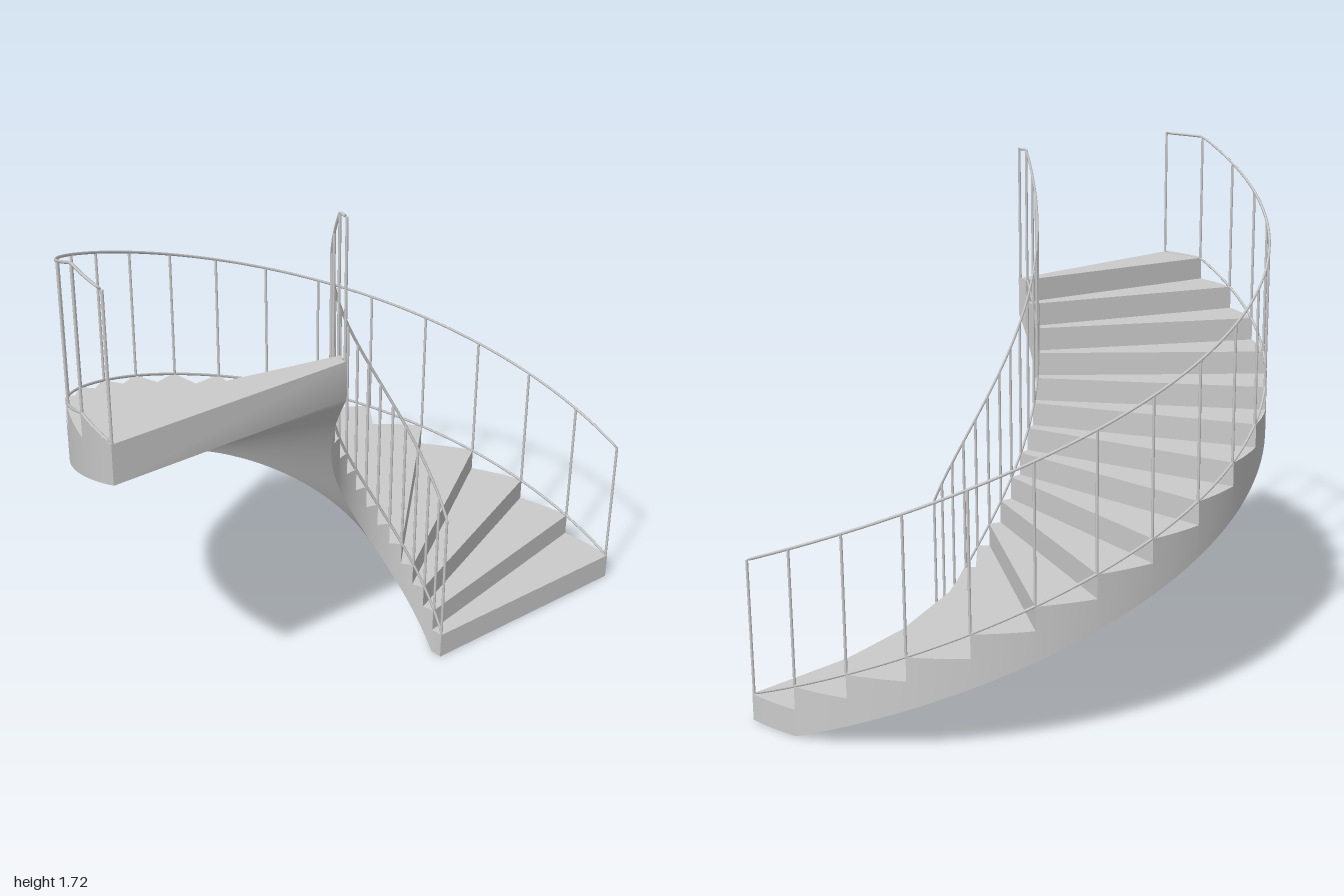
import * as THREE from 'three';
import { toCreasedNormals } from 'three/addons/utils/BufferGeometryUtils.js';

const STEPS = 16, SUB = 4;
const R_IN = 0.21, R_OUT = 1, CENTRE_Z = 0.5;
const FIRST = 0.09, RISE = 0.0785, RAIL_HEIGHT = 0.45, BAR = 0.0045;

const material = new THREE.MeshStandardMaterial({ color: 0xcccccc });

// s counts steps along the half turn (0 at the foot, 16 at the landing)
const at = (r, s, y) => {
  const a = (s / STEPS) * Math.PI;
  return new THREE.Vector3(r * Math.cos(a), y, CENTRE_Z - r * Math.sin(a));
};
const treadY = (s) => FIRST + RISE * s;
const soffitY = (s) => Math.max(0, (s - 1) * 0.076);

// Winding steps with a continuous sloping underside
function stairGeometry() {
  const pos = [];
  const quad = (a, b, c, d) => [a, b, c, a, c, d].forEach((p) => pos.push(p.x, p.y, p.z));
  for (let i = 0; i < STEPS; i++) {
    const top = treadY(i);
    const low = i === 0 ? 0 : treadY(i - 1);
    // riser
    quad(at(R_IN, i, low), at(R_OUT, i, low), at(R_OUT, i, top), at(R_IN, i, top));
    for (let k = 0; k < SUB; k++) {
      const s = i + k / SUB, e = i + (k + 1) / SUB;
      const ys = soffitY(s), ye = soffitY(e);
      // tread, outer wall, inner wall, underside
      quad(at(R_IN, s, top), at(R_OUT, s, top), at(R_OUT, e, top), at(R_IN, e, top));
      quad(at(R_OUT, s, ys), at(R_OUT, e, ye), at(R_OUT, e, top), at(R_OUT, s, top));
      quad(at(R_IN, s, top), at(R_IN, e, top), at(R_IN, e, ye), at(R_IN, s, ys));
      quad(at(R_IN, e, ye), at(R_OUT, e, ye), at(R_OUT, s, ys), at(R_IN, s, ys));
    }
  }
  // end face under the landing
  const y0 = soffitY(STEPS), y1 = treadY(STEPS - 1);
  quad(at(R_IN, STEPS, y1), at(R_OUT, STEPS, y1), at(R_OUT, STEPS, y0), at(R_IN, STEPS, y0));
  const g = new THREE.BufferGeometry();
  g.setAttribute('position', new THREE.Float32BufferAttribute(pos, 3));
  return toCreasedNormals(g, 0.5);
}

// Point on a railing line: climbs with the steps, level over the last one
function railPoint(r, s, lift) {
  const p = at(r, s, treadY(Math.min(s, STEPS - 1)) + lift);
  p.z = Math.min(p.z, CENTRE_Z - BAR);
  return p;
}

class RailCurve extends THREE.Curve {
  constructor(r, lift) {
    super();
    this.r = r;
    this.lift = lift;
  }
  getPoint(t, target = new THREE.Vector3()) {
    return target.copy(railPoint(this.r, t * STEPS, this.lift));
  }
}

function railing(name, r) {
  const group = new THREE.Group();
  group.name = name;
  const add = (partName, geometry) => {
    const mesh = new THREE.Mesh(geometry, material);
    mesh.name = partName;
    group.add(mesh);
    return mesh;
  };
  add('handrail', new THREE.TubeGeometry(new RailCurve(r, RAIL_HEIGHT), 128, BAR, 6));
  add('bottomRail', new THREE.TubeGeometry(new RailCurve(r, 0), 128, BAR, 6));
  // one post at the front of every tread and one at the end of the landing
  const post = new THREE.CylinderGeometry(BAR, BAR, RAIL_HEIGHT, 8);
  for (let i = 0; i <= STEPS; i++) {
    add('post', post).position.copy(railPoint(r, i, RAIL_HEIGHT / 2));
  }
  return group;
}

export function createModel() {
  const model = new THREE.Group();
  model.name = 'curvedStaircase';
  const stairs = new THREE.Mesh(stairGeometry(), material);
  stairs.name = 'steps';
  model.add(stairs);
  model.add(railing('outerRailing', R_OUT - BAR));
  model.add(railing('innerRailing', R_IN + BAR));
  return model;
}
